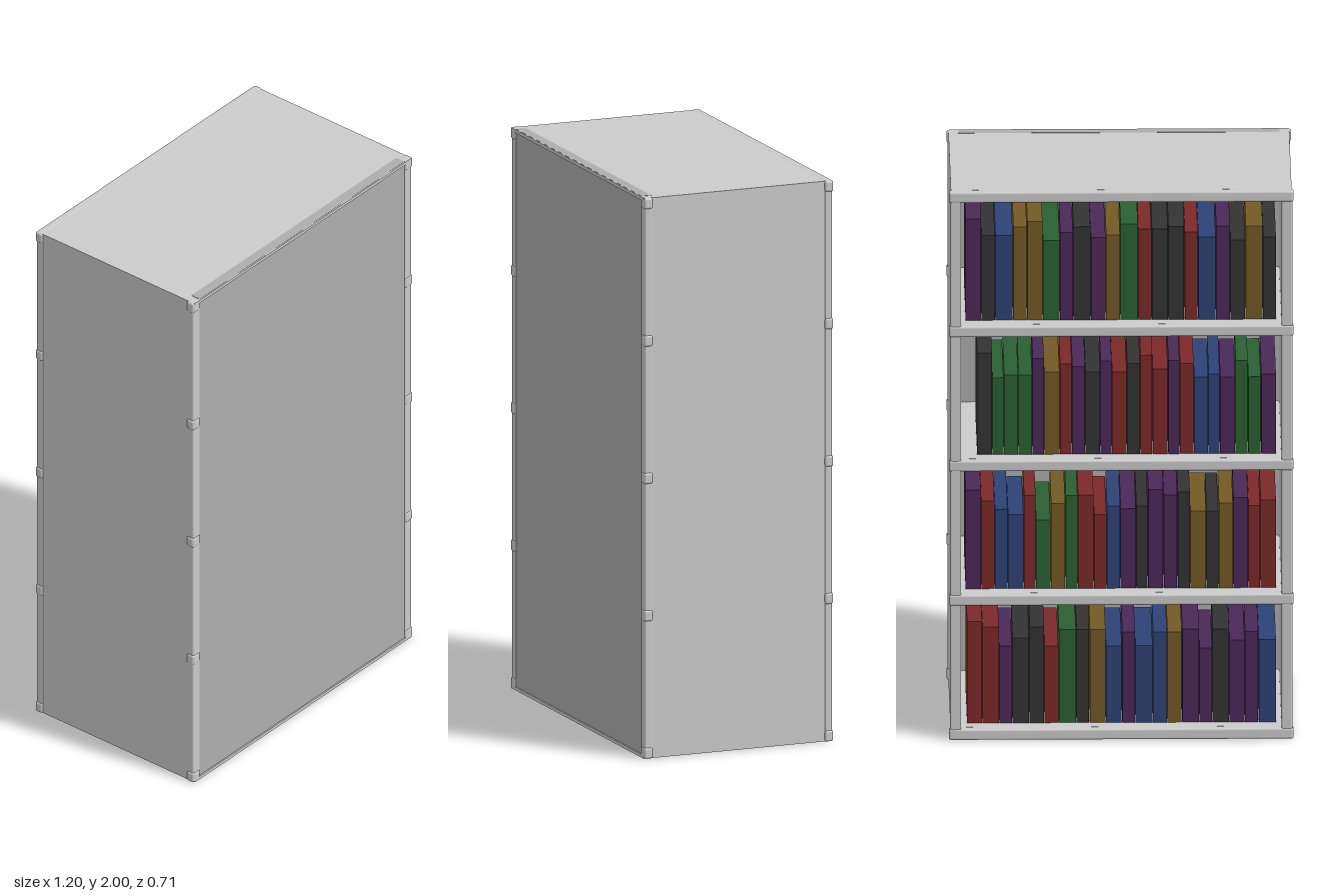
import * as THREE from 'three';
import { RoundedBoxGeometry } from 'three/addons/geometries/RoundedBoxGeometry.js';

const grey = new THREE.MeshStandardMaterial({ color: 0xcccccc });
const darkGrey = new THREE.MeshStandardMaterial({ color: 0xaeaeae });
const bookColors = {
  R: 0x7c2828, G: 0x2a6032, B: 0x2c4276, Y: 0x735a24, P: 0x4a2858, K: 0x333333,
};
const bookMaterials = {};
for (const key in bookColors) {
  bookMaterials[key] = new THREE.MeshStandardMaterial({ color: bookColors[key] });
}

// Books of each shelf from +x to -x: colour letter and height in hundredths
const rows = [
  { start: 0.535, books: 'R37 R35 P28 K31 K35 R28 G34 K34 Y34 B28 P33 B28 B33 Y33 P34 P27 K34 P30 P33 B30' },
  { start: 0.54, books: 'P36 R32 B29 B27 R34 G25 Y31 G34 R34 R27 B30 P29 K30 P36 P34 K35 Y28 K28 Y31 P33 R30 R32' },
  { start: 0.5, books: 'K37 G28 G29 G29 P35 Y30 R33 P32 K30 P34 R30 K33 R36 R31 P34 R33 B28 B29 P28 G34 G28 P29' },
  { start: 0.54, books: 'P37 K31 B31 Y34 Y36 G29 P32 K34 P30 Y31 G35 R33 K33 K34 R32 B30 P34 K29 Y34 K30' },
];

// Box given by its lower and upper limits on each axis
function addBox(parent, name, [x0, x1], [y0, y1], [z0, z1], material, radius = 0) {
  const size = [x1 - x0, y1 - y0, z1 - z0];
  const geometry = radius
    ? new RoundedBoxGeometry(...size, 2, radius)
    : new THREE.BoxGeometry(...size);
  const mesh = new THREE.Mesh(geometry, material);
  mesh.name = name;
  mesh.position.set((x0 + x1) / 2, (y0 + y1) / 2, (z0 + z1) / 2);
  parent.add(mesh);
  return mesh;
}

export function createModel() {
  const model = new THREE.Group();
  model.name = 'bookcase';

  // Side walls with rounded uprights on both long edges
  for (const s of [-1, 1]) {
    const span = (a, b) => (s > 0 ? [a, b] : [-b, -a]);
    addBox(model, 'sideWall', span(0.557, 0.592), [0.002, 1.998], [-0.349, 0.349], grey);
    addBox(model, 'openUpright', span(0.556, 0.595), [0.002, 1.998], [-0.354, -0.325], grey, 0.006);
    addBox(model, 'closedUpright', span(0.558, 0.595), [0.002, 1.998], [0.325, 0.354], grey, 0.006);
  }

  // Five boards, each with a rounded lip and protruding corner ends
  const boardHeight = 0.04;
  const levels = [0, 1, 2, 3, 4].map((i) => i * 0.49);
  levels.forEach((y, i) => {
    const name = i === 0 ? 'bottomBoard' : i === 4 ? 'topBoard' : 'shelf';
    const outer = i === 0 || i === 4;
    addBox(model, name, outer ? [-0.592, 0.592] : [-0.558, 0.558],
      [y + 0.001, y + boardHeight - 0.001], [-0.349, 0.349], grey);
    addBox(model, 'shelfLip', [-0.599, 0.599], [y, y + boardHeight], [-0.357, -0.325], grey, 0.008);
    for (const s of [-1, 1]) {
      addBox(model, 'cornerEnd', s > 0 ? [0.559, 0.599] : [-0.599, -0.559],
        [y, y + boardHeight], [0.325, 0.357], grey, 0.008);
    }
  });

  // Closing panel and its slim edges
  addBox(model, 'closingPanel', [-0.559, 0.559], [0.001, 2], [0.315, 0.352], darkGrey);
  addBox(model, 'panelTopEdge', [-0.59, 0.59], [1.988, 1.9995], [0.348, 0.357], grey);
  addBox(model, 'panelBottomEdge', [-0.59, 0.59], [0.0005, 0.012], [0.348, 0.357], grey);

  // Rows of books with slightly varied thickness
  rows.forEach((row, r) => {
    const shelfBooks = new THREE.Group();
    shelfBooks.name = 'bookRow';
    const books = row.books.split(' ');
    const weights = books.map((_, i) => 1 + 0.15 * Math.sin(i * 2.4 + r));
    const total = weights.reduce((a, b) => a + b, 0);
    const scale = (row.start + 0.54) / total;
    let x = row.start;
    books.forEach((book, i) => {
      const width = weights[i] * scale;
      const bottom = levels[r] + boardHeight;
      addBox(shelfBooks, 'book', [x - width + 0.002, x],
        [bottom, bottom + Number(book.slice(1)) / 100], [-0.285, 0.15], bookMaterials[book[0]]);
      x -= width;
    });
    model.add(shelfBooks);
  });

  return model;
}
